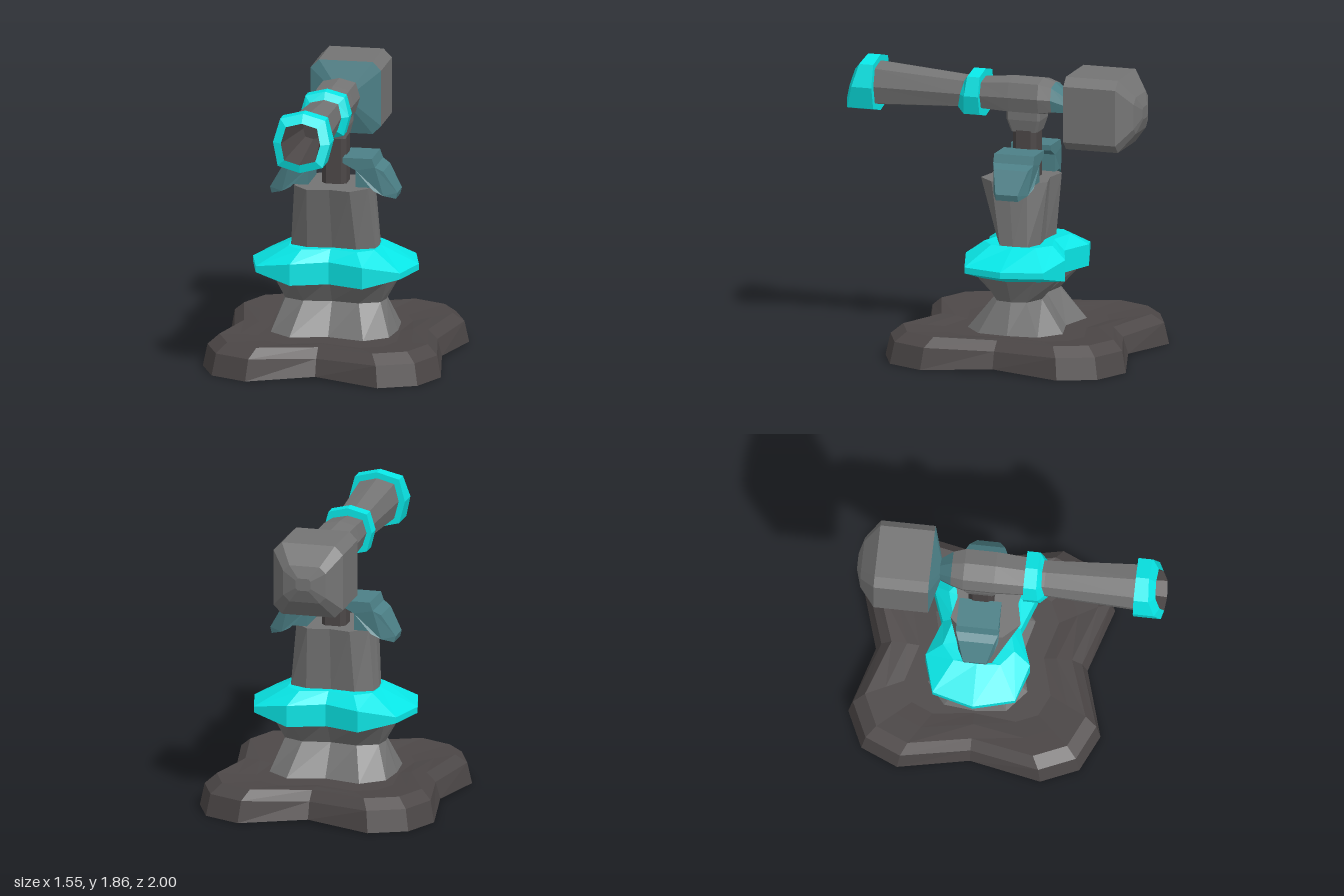
import * as THREE from 'three';

const CZ = -0.19; // the pedestal's axis sits behind the origin

const mat = (color, side = THREE.FrontSide) =>
  new THREE.MeshStandardMaterial({ color, side, flatShading: true });
const DARK = mat(0x4c4747, THREE.DoubleSide), GREY = mat(0x747474, THREE.DoubleSide);
const CYAN = mat(0x08e6e6, THREE.DoubleSide), TEAL = mat(0x4c8087, THREE.DoubleSide);

// Skin a stack of equal-length rings; each ring runs counter-clockwise seen from the last one.
function loft(rings, capStart = false, capEnd = false) {
  const pos = [];
  const tri = (...pts) => pts.forEach((p) => pos.push(...p));
  const n = rings[0].length;
  const mid = (ring) => [0, 1, 2].map((k) => ring.reduce((s, p) => s + p[k], 0) / n);
  const first = rings[0], last = rings[rings.length - 1];
  for (let j = 0; j < n; j++) {
    const k = (j + 1) % n;
    for (let i = 0; i + 1 < rings.length; i++) {
      const a = rings[i], b = rings[i + 1];
      tri(a[j], a[k], b[k]);
      tri(a[j], b[k], b[j]);
    }
    if (capStart) tri(mid(first), first[k], first[j]);
    if (capEnd) tri(mid(last), last[j], last[k]);
  }
  const geo = new THREE.BufferGeometry();
  geo.setAttribute('position', new THREE.Float32BufferAttribute(pos, 3));
  geo.computeVertexNormals();
  return geo;
}

// Horizontal lobed ring mirrored from one quarter: side, lobe points, notch as [x, z, y offset].
function lobed(y, quarter, shift = 0) {
  const arc = (sx, sz) => quarter.map(([x, z, dy = 0]) => [sx * x, y + dy, CZ + shift + sz * z]);
  const side = (s) => [...arc(s, -s), ...arc(-s, -s).slice(1, -1).reverse()];
  return [...side(1), ...side(-1)];
}

// Upright eight-sided ring; slant pushes its lower half forward.
function oct(z, rx, ry, cy, slant = 0) {
  return Array.from({ length: 8 }, (_, i) => {
    const d = i % 2 ? 1.12 : 1;
    const x = Math.cos(i * Math.PI / 4) * rx * d, y = Math.sin(i * Math.PI / 4) * ry * d;
    return [x, cy + y, z - slant * y];
  });
}

// Upright rectangular ring with cut corners.
function chamfered(z, w, h, cy, cut) {
  return [
    [w, -h + cut], [w, h - cut], [w - cut, h], [-w + cut, h],
    [-w, h - cut], [-w, -h + cut], [-w + cut, -h], [w - cut, -h],
  ].map(([x, y]) => [x, cy + y, z]);
}

// The same ring laid flat for the shaft and its bracket.
const post = (y, w, d, cut) => chamfered(0, w, d, 0, cut).map(([x, z]) => [x, y, CZ - z]);

export function createModel() {
  const model = new THREE.Group();
  const add = (name, geometry, material) => {
    const mesh = new THREE.Mesh(geometry, material);
    mesh.name = name;
    model.add(mesh);
  };

  // Four-lobed foot, dished on top and hollow underneath: [y, side x, lobe scale, notch z, y offset]
  const footLevels = [
    [0, 0.69, 1, 0.68, 0.02], [0.14, 0.66, 0.965, 0.645, -0.01], [0.2, 0.6, 0.875, 0.58, -0.01],
    [0.185, 0.5, 0.72, 0.48, 0], [0.17, 0.42, 0.58, 0.4, 0],
  ];
  add('base', loft(footLevels.map(([y, x, s, z, dy]) => lobed(y, [
    [x, 0, dy], [0.775 * s, 0.46 * s], [0.67 * s, 0.7 * s], [0.43 * s, 0.81 * s], [0, z, dy],
  ])), false, true), DARK);

  // Hourglass pedestal
  add('pedestal', loft([
    lobed(0.175, [[0.405, 0], [0.385, 0.2], [0.24, 0.32], [0, 0.26]]),
    lobed(0.38, [[0.33, 0], [0.31, 0.1], [0.18, 0.16], [0, 0.13]]),
    lobed(0.54, [[0.42, 0], [0.37, 0.18], [0.22, 0.3], [0, 0.22]]),
  ]), GREY);

  // Flared collar, thick at front and back, thin at the sides
  add('collar', loft([
    lobed(0.52, [[0.41, 0, 0.01], [0.36, 0.17, 0.01], [0.21, 0.28], [0, 0.2]]),
    lobed(0.52, [[0.54, 0, 0.06], [0.47, 0.265, 0.06], [0.235, 0.335], [0, 0.25]]),
    lobed(0.62, [[0.54, 0], [0.47, 0.265], [0.235, 0.335, 0.04], [0, 0.25, 0.045]]),
    lobed(0.735, [[0.29, 0], [0.28, 0.15], [0.18, 0.23], [0, 0.18]]),
    lobed(0.73, [[0.28, 0], [0.26, 0.08], [0.15, 0.13], [0, 0.11]]),
  ]), CYAN);

  // Column widening front to back as it rises
  add('column', loft([
    lobed(0.72, [[0.287, 0], [0.275, 0.09], [0.16, 0.14], [0, 0.12]]),
    lobed(1.14, [[0.25, 0], [0.24, 0.12], [0.14, 0.225], [0, 0.195]], 0.04),
  ], false, true), GREY);

  // Shaft and the bracket under the tube
  add('shaft', loft([post(1.14, 0.08, 0.08, 0.03), post(1.46, 0.08, 0.08, 0.03)]), DARK);
  add('bracket', loft([
    post(1.44, 0.078, 0.088, 0.015), post(1.52, 0.095, 0.112, 0.015), post(1.6, 0.095, 0.115, 0.015),
  ], true), GREY);

  // Pair of stepped side handles, narrowing towards the tips
  const outline = [
    [0.07, 1.33], [0.26, 1.33], [0.28, 1.275], [0.33, 1.245], [0.415, 1.1], [0.405, 1.06],
    [0.33, 1.085], [0.27, 1.12], [0.25, 1.14], [0.155, 1.14], [0.155, 1.25], [0.07, 1.295],
  ];
  for (const side of [1, -1]) {
    const pts = outline.map(([x, y]) => new THREE.Vector2(side * x, y));
    const geo = new THREE.ExtrudeGeometry(new THREE.Shape(pts), { depth: 0.27, bevelEnabled: false });
    geo.translate(0, 0, -0.135);
    const p = geo.attributes.position;
    for (let i = 0; i < p.count; i++) {
      const x = Math.abs(p.getX(i));
      p.setZ(i, p.getZ(i) * (x > 0.4 ? 0.55 : x > 0.3 ? 0.85 : 1));
    }
    geo.translate(0, 0, CZ);
    geo.computeVertexNormals();
    add(side > 0 ? 'leftHandle' : 'rightHandle', geo, TEAL);
  }

  // Tube, fattest at its breech and its mouth
  add('tube', loft([
    oct(-0.38, 0.11, 0.1, 1.665),
    oct(-0.3, 0.135, 0.12, 1.67),
    oct(-0.1, 0.135, 0.12, 1.67),
    oct(0.1, 0.125, 0.105, 1.665),
    oct(0.22, 0.115, 0.105, 1.665),
    oct(0.82, 0.145, 0.145, 1.675),
  ]), GREY);
  add('tubeNeck', loft([oct(-0.47, 0.06, 0.06, 1.625), oct(-0.38, 0.11, 0.1, 1.665)]), TEAL);

  // Slanted band round the middle of the tube
  add('band', loft([
    oct(0.09, 0.12, 0.105, 1.665),
    oct(0.09, 0.16, 0.155, 1.665),
    oct(0.185, 0.16, 0.155, 1.665, 0.1),
    oct(0.225, 0.118, 0.108, 1.665, 0.25),
  ]), CYAN);

  // Mouth rim and the open bore inside it
  add('mouthRim', loft([
    oct(0.8, 0.14, 0.14, 1.675),
    oct(0.8, 0.185, 0.183, 1.675),
    oct(0.935, 0.185, 0.183, 1.675, 0.28),
    oct(0.965, 0.128, 0.128, 1.675, 0.28),
  ]), CYAN);
  add('bore', loft([oct(0.55, 0.065, 0.065, 1.67), oct(0.965, 0.128, 0.128, 1.675, 0.28)].reverse(), false, true), DARK);

  // Rear counterweight with a shallow tapered face and a domed back
  add('weightFace', loft([
    chamfered(-0.51, 0.23, 0.2375, 1.6125, 0.055),
    chamfered(-0.45, 0.06, 0.055, 1.62, 0.02),
  ], false, true), TEAL);
  add('weight', loft([
    chamfered(-0.985, 0.05, 0.04, 1.615, 0.015),
    chamfered(-0.955, 0.14, 0.12, 1.61, 0.04),
    chamfered(-0.86, 0.23, 0.2375, 1.6125, 0.055),
    chamfered(-0.51, 0.23, 0.2375, 1.6125, 0.055),
  ], true), GREY);

  return model;
}
